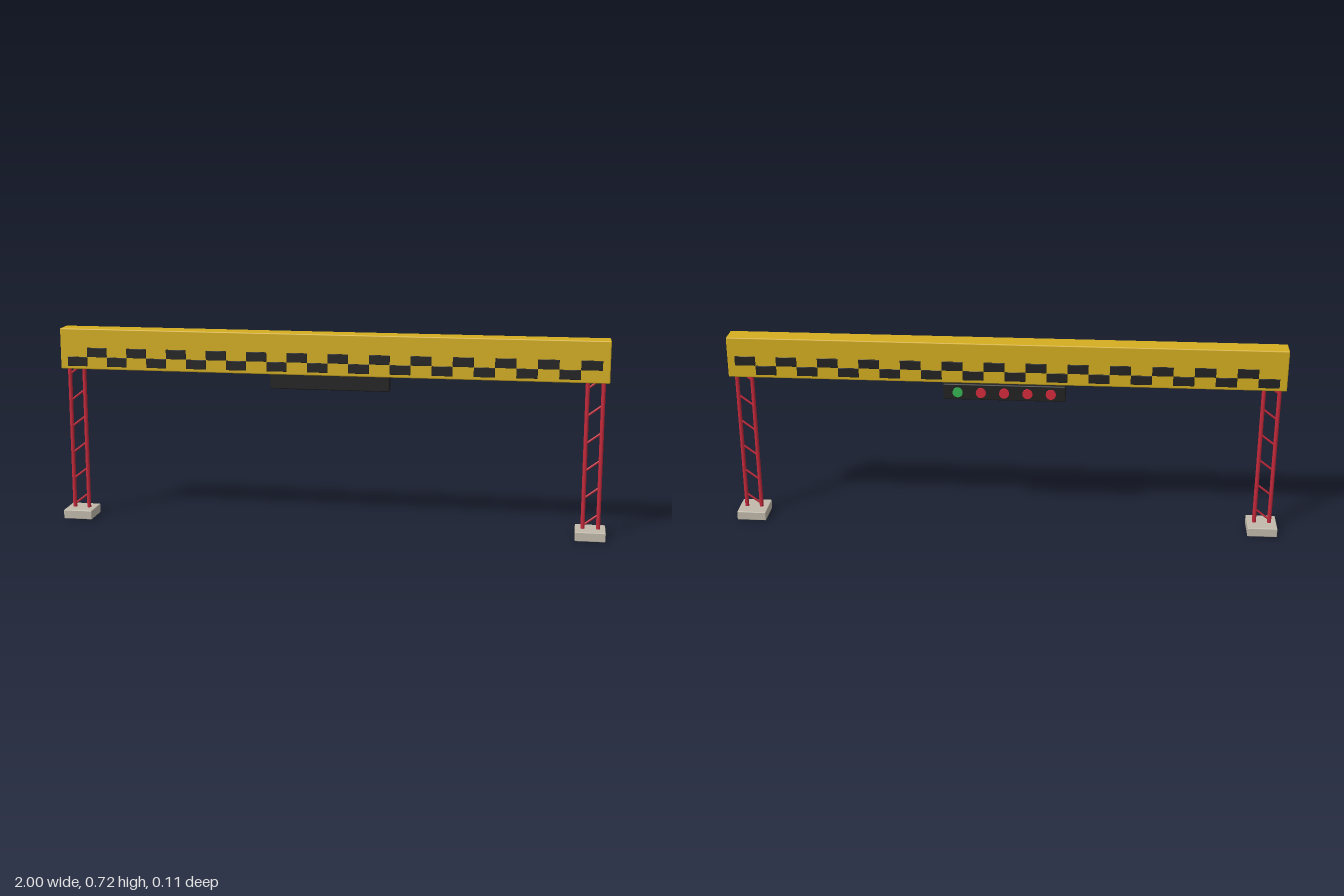
import * as THREE from 'three';
import { RoundedBoxGeometry } from 'three/addons/geometries/RoundedBoxGeometry.js';

const material = (name, color) => {
  const m = new THREE.MeshStandardMaterial({ color });
  m.name = name;
  return m;
};

export function createModel() {
  const yellow = material('beam yellow', 0xd4ae20);
  const black = material('black', 0x222222);
  const red = material('post red', 0xc4283a);
  const concrete = material('concrete', 0xc2bbac);
  const lampRed = material('lamp red', 0xd42a3c);
  const lampGreen = material('lamp green', 0x35b552);

  const model = new THREE.Group();
  model.name = 'startGantry';

  const add = (parent, name, geometry, mat, x, y, z) => {
    const mesh = new THREE.Mesh(geometry, mat);
    mesh.name = name;
    mesh.position.set(x, y, z);
    parent.add(mesh);
    return mesh;
  };

  // Overhead beam
  add(model, 'beam', new RoundedBoxGeometry(1.988, 0.15, 0.075, 2, 0.004), yellow, 0, 0.643, 0);

  // Two-row chequer band on both faces of the beam
  const columns = 26, tileW = 0.0744, tileH = 0.0345;
  const tile = new RoundedBoxGeometry(tileW, tileH, 0.006, 1, 0.0015);
  const band = new THREE.Group();
  band.name = 'chequerBand';
  for (const side of [1, -1]) {
    for (let i = 0; i < columns; i++) {
      const x = (i - (columns - 1) / 2) * tileW;
      const y = 0.614 + (i % 2 ? 0.5 : -0.5) * tileH;
      add(band, 'chequerTile', tile, black, x, y, side * 0.037);
    }
  }
  model.add(band);

  // Ladder-like legs: two posts, slanted braces and a footing each
  const postGeo = new THREE.CylinderGeometry(0.0075, 0.0075, 0.575, 12);
  const half = 0.0275, rise = 0.021;
  const braceGeo = new THREE.CylinderGeometry(0.004, 0.004, 2 * Math.hypot(half, rise), 8);
  const footGeo = new RoundedBoxGeometry(0.108, 0.034, 0.109, 2, 0.003);
  for (const side of [-1, 1]) {
    const leg = new THREE.Group();
    leg.name = side > 0 ? 'leftLeg' : 'rightLeg';
    leg.position.x = side * 0.946;
    add(leg, 'footing', footGeo, concrete, 0, 0.017, 0);
    for (const s of [-1, 1]) add(leg, 'post', postGeo, red, s * half, 0.2875, 0);
    for (let i = 0; i < 6; i++) {
      const brace = add(leg, 'brace', braceGeo, red, 0, 0.066 + i * 0.0995, 0);
      brace.rotation.z = Math.atan2(rise, half) - Math.PI / 2;
    }
    model.add(leg);
  }

  // Signal box under the beam with a row of five lamps facing back
  const signal = new THREE.Group();
  signal.name = 'signalBox';
  add(signal, 'housing', new RoundedBoxGeometry(0.436, 0.059, 0.041, 2, 0.004), black, 0, 0.5375, -0.0255);
  const lampGeo = new THREE.CylinderGeometry(0.018, 0.018, 0.012, 20).rotateX(Math.PI / 2);
  for (let i = -2; i <= 2; i++) {
    add(signal, 'lamp', lampGeo, i === 2 ? lampGreen : lampRed, i * 0.083, 0.537, -0.047);
  }
  model.add(signal);

  return model;
}
